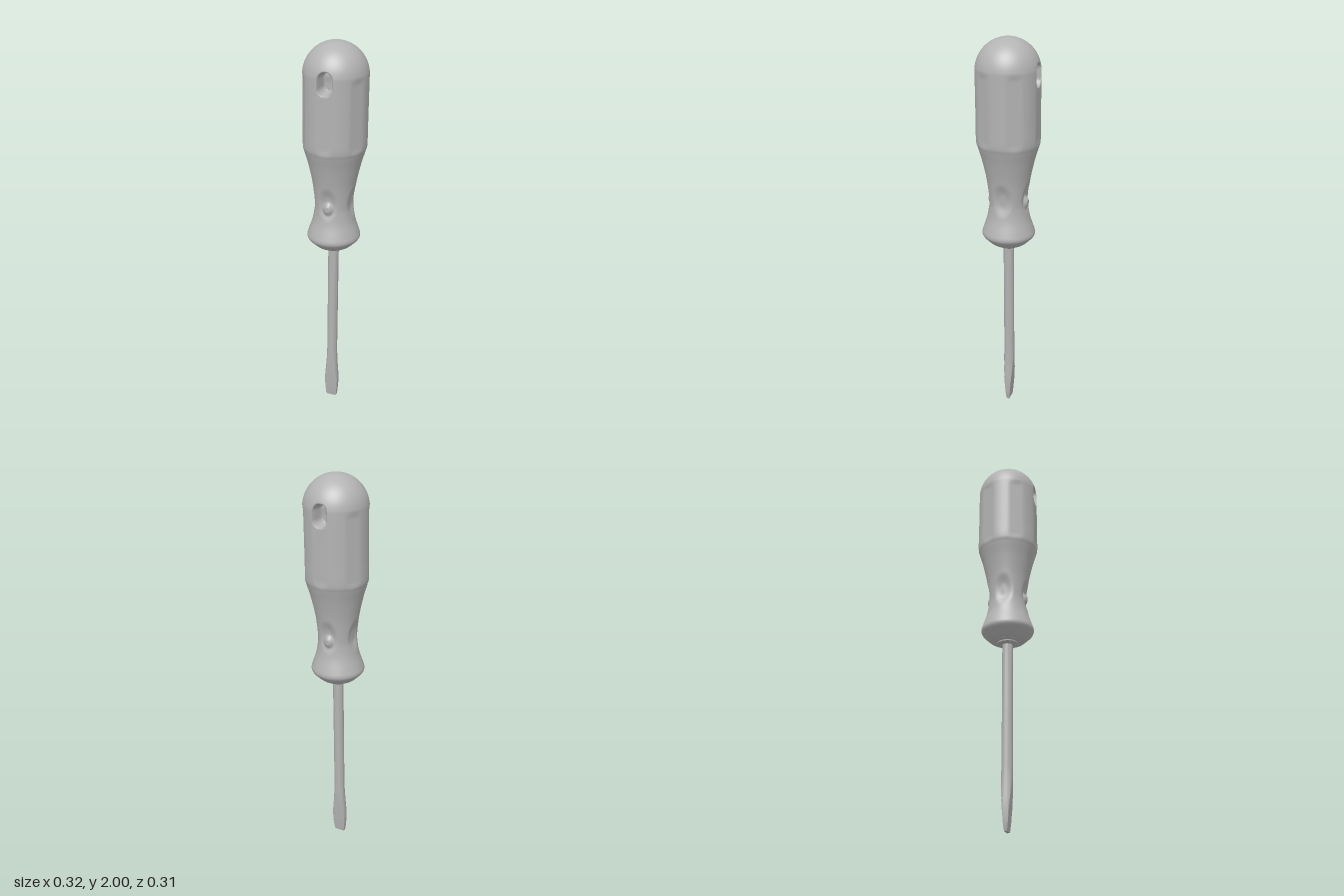
import * as THREE from 'three';
import { toCreasedNormals } from 'three/addons/utils/BufferGeometryUtils.js';

const { smoothstep, clamp } = THREE.MathUtils;

// The tool leans very slightly sideways toward its tip
const lean = (y) => -0.026 * Math.max(0, 1 - y / 1.85);

// Closed skin over horizontal rings, bottom to top; place(row, angle) returns [x, y, z]
function skin(rows, cols, place) {
  const pos = [], index = [];
  rows.forEach((row, i) => {
    for (let j = 0; j < cols; j++) {
      const t = (j / cols) * Math.PI * 2;
      const [x, y, z] = place(row, t);
      pos.push(x + lean(y), y, z);
      if (i === rows.length - 1) continue;
      const a = i * cols + j, b = i * cols + (j + 1) % cols;
      index.push(a, b, b + cols, a, b + cols, a + cols);
    }
  });
  const g = new THREE.BufferGeometry();
  g.setAttribute('position', new THREE.Float32BufferAttribute(pos, 3));
  g.setIndex(index);
  g.computeVertexNormals();
  return g;
}

function handleGeometry() {
  // Radius and height from the ferrule to the start of the dome
  const profile = [
    [0.075, 0.955], [0.09, 0.963], [0.112, 0.983], [0.13, 1.003], [0.134, 1.02], [0.127, 1.045],
    [0.109, 1.1], [0.1, 1.15], [0.098, 1.2], [0.108, 1.3], [0.129, 1.4], [0.149, 1.47],
    [0.157, 1.505], [0.157, 1.6], [0.157, 1.72], [0.157, 1.843],
  ].map(([r, y]) => new THREE.Vector2(r, y));
  for (let i = 1; i <= 12; i++) {
    const a = (i / 12) * Math.PI / 2;
    profile.push(new THREE.Vector2(0.157 * Math.cos(a), 1.843 + 0.157 * Math.sin(a)));
  }
  const rows = new THREE.SplineCurve(profile).getSpacedPoints(220);
  rows.unshift(new THREE.Vector2(0, 0.955));

  return skin(rows, 144, (p, t) => {
    // Columns crowd toward front and back, where the details are
    const a = t - 0.3 * Math.sin(2 * t);
    const y = p.y;
    let r = Math.max(p.x, 0);

    // Six shallow flats on the grip
    const sector = Math.PI / 3;
    const off = a - Math.round(a / sector) * sector;
    const flat = Math.min(r, 0.152 / Math.cos(off));
    const w = smoothstep(y, 1.47, 1.52) * (1 - smoothstep(y, 1.82, 1.86));
    r += (flat - r) * w;

    // Four thumb scallops in the waist, with a button in front and back
    const quarter = Math.PI / 2;
    const side = Math.round(a / quarter);
    const across = r * Math.sin(a - side * quarter);
    const scoop = Math.hypot(across / 0.055, (y - 1.215) / 0.095);
    const button = Math.hypot(across / 0.036, (y - 1.19) / 0.04);
    r -= 0.013 * (1 - smoothstep(scoop, 0.3, 1));
    if (side % 2 === 0) r += 0.019 * (1 - smoothstep(button, 0.25, 1));

    // Hanging slot sunk into front and back
    const x = r * Math.sin(a);
    let z = r * Math.cos(a);
    const slot = Math.hypot(x, Math.max(0, Math.abs(y - 1.831) - 0.02)) - 0.034;
    if (Math.abs(z) > 0.08) z -= Math.sign(z) * 0.065 * (1 - smoothstep(slot, -0.009, 0.003));
    return [x, y, z];
  });
}

// Round shaft flattening into a flared blade: [height, half width, half thickness]
function bladeGeometry() {
  const rows = [
    [0, 0, 0], [0, 0.027, 0.007], [0.012, 0.031, 0.009], [0.05, 0.035, 0.013], [0.1, 0.038, 0.017],
    [0.14, 0.037, 0.02], [0.19, 0.033, 0.024], [0.25, 0.029, 0.027], [0.32, 0.027, 0.027],
    [0.6, 0.027, 0.027], [0.97, 0.027, 0.027],
  ];
  const g = skin(rows, 32, ([y, w, d], t) =>
    [w * Math.sin(t), y, clamp(w * Math.cos(t), -d, d)]);
  return toCreasedNormals(g, 0.6);
}

// Stepped collar where the shaft enters the handle
function ferruleGeometry() {
  const rows = [[0, 0.938], [0.046, 0.938], [0.053, 0.943], [0.054, 0.949], [0.066, 0.95], [0.072, 0.954], [0.074, 0.962]];
  return toCreasedNormals(skin(rows, 48, ([r, y], t) => [r * Math.sin(t), y, r * Math.cos(t)]), 0.7);
}

export function createModel() {
  const grey = new THREE.MeshStandardMaterial({ color: 0xb3b3b3 });
  grey.name = 'plain grey';
  const model = new THREE.Group();
  model.name = 'screwdriver';
  const add = (name, geometry) => {
    const mesh = new THREE.Mesh(geometry, grey);
    mesh.name = name;
    model.add(mesh);
  };
  add('handle', handleGeometry());
  add('ferrule', ferruleGeometry());
  add('blade', bladeGeometry());
  return model;
}
